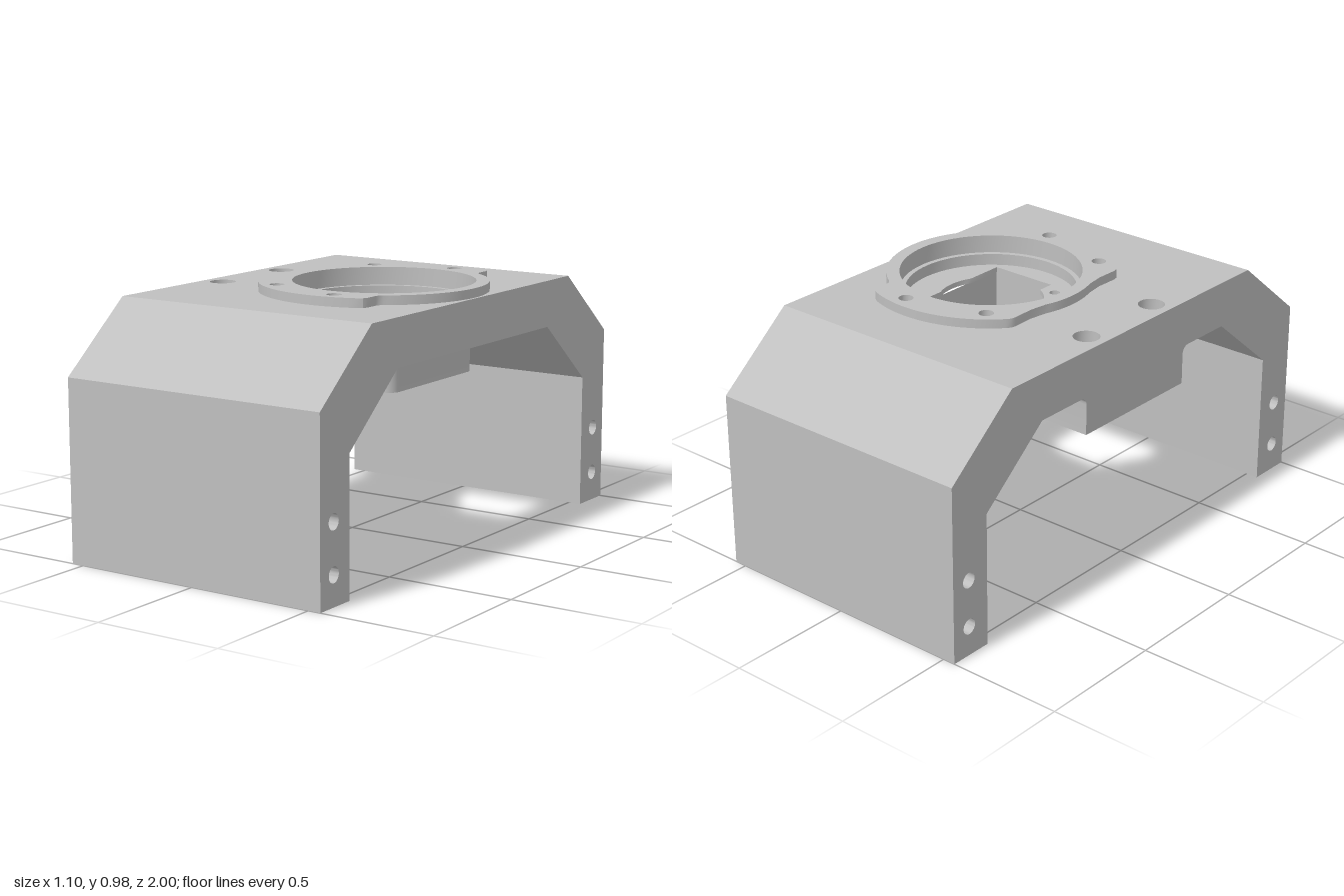
import * as THREE from 'three';
import { toCreasedNormals, mergeGeometries } from 'three/addons/utils/BufferGeometryUtils.js';

const V = (x, y) => new THREE.Vector2(x, y);
const P = (list) => list.map(([x, y]) => V(x, y));

// Points on an arc, angles in degrees, both ends included
function arc(cx, cy, r, a0, a1, n) {
  return Array.from({ length: n + 1 }, (_, i) => {
    const a = THREE.MathUtils.degToRad(a0 + ((a1 - a0) * i) / n);
    return V(cx + r * Math.cos(a), cy + r * Math.sin(a));
  });
}
const circle = (cx, cy, r, n = 32) => arc(cx, cy, r, 0, 360, n).slice(0, n);
const rect = (x0, x1, h) => P([[x0, -h], [x1, -h], [x1, h], [x0, h]]);

// Flat face at depth d; flip turns it to look the other way
function face(points, holes, d, flip = false) {
  const shape = new THREE.Shape(points);
  shape.holes = holes.map((h) => new THREE.Path(h));
  const g = new THREE.ShapeGeometry(shape);
  if (flip) {
    g.setIndex(Array.from(g.index.array).reverse());
    g.computeVertexNormals();
  }
  g.translate(0, 0, d);
  return g.toNonIndexed();
}

// Skin through outlines [points, depth]; faces outward for anticlockwise points
function loft(rings, closed = true) {
  const pos = [];
  for (let k = 0; k + 1 < rings.length; k++) {
    const [a, d0] = rings[k], [b, d1] = rings[k + 1], n = a.length;
    for (let i = 0; i < (closed ? n : n - 1); i++) {
      const j = (i + 1) % n;
      const A = [a[i].x, a[i].y, d0], B = [a[j].x, a[j].y, d0];
      const C = [b[j].x, b[j].y, d1], D = [b[i].x, b[i].y, d1];
      pos.push(...A, ...B, ...C, ...A, ...C, ...D);
    }
  }
  const g = new THREE.BufferGeometry();
  g.setAttribute('position', new THREE.Float32BufferAttribute(pos, 3));
  g.setAttribute('uv', new THREE.Float32BufferAttribute(new Array((pos.length / 3) * 2).fill(0), 2));
  g.computeVertexNormals();
  return toCreasedNormals(g, 0.55);
}
const wall = (pts, d0, d1, closed = true) => loft([[pts, d0], [pts, d1]], closed);
const bore = (pts, d0, d1) => wall([...pts].reverse(), d0, d1);

export function createModel() {
  const model = new THREE.Group();
  model.name = 'mountingBracket';
  const metal = new THREE.MeshStandardMaterial({ color: 0xbfbfbf });
  metal.name = 'grey metal';

  function add(name, parts, alongX = false) {
    const g = mergeGeometries(parts);
    if (alongX) g.rotateY(Math.PI / 2);
    else g.rotateX(-Math.PI / 2);
    const mesh = new THREE.Mesh(g, metal);
    mesh.name = name;
    model.add(mesh);
  }

  // Main dimensions
  const W = 0.55, TOP = 0.945, UNDER = 0.765, RIM = 0.98, BASE = 0.615;
  const FLOOR = 0.865, CEIL = 0.845, LEDGE = 0.91, BLIND = 0.88;
  const CX = 0.145;

  // Arch: side strips (one leg and its shoulder), mirrored
  const strip = P([[0.53, UNDER], [0.825, 0.52], [0.825, 0], [1, 0], [1, 0.69], [0.69, TOP]]);
  const mirrored = strip.map((p) => V(-p.x, p.y)).reverse();
  const legHoles = [];
  for (const s of [-1, 1]) for (const y of [0.115, 0.3]) legHoles.push(circle(s * 0.92, y, 0.03));
  add('legs', [
    wall(strip, -W, W, false), wall(mirrored, -W, W, false),
    ...legHoles.map((h) => bore(h, -W, W)),
  ], true);

  // Housing section: [outward offset, height], with a fillet under the deck
  const levels = [[0, BASE]];
  for (let i = 0; i <= 5; i++) {
    const a = (i / 5) * Math.PI / 2;
    levels.push([0.03 * (1 - Math.cos(a)), 0.735 + 0.03 * Math.sin(a)]);
  }
  const housingHalf = 0.285;
  const bump = [
    ...levels.map(([o, y]) => V(-housingHalf - o, y)).reverse(),
    ...levels.map(([o, y]) => V(housingHalf + o, y)),
  ];

  // End faces; the housing is flush with the -x end
  add('endFaces', [
    face([...strip, ...mirrored], legHoles, W),
    face([...strip, ...mirrored, ...bump], legHoles, -W, true),
  ], true);

  // Flange outline: two bolt lobes around a round collar
  const half = [
    ...arc(CX, 0, 0.395, 0, 57, 16),
    ...P([[0.348, 0.345], [0.345, 0.36], [0.345, 0.41], [0.338, 0.428]]),
    ...arc(CX, 0, 0.475, 68.4, 132, 20),
    ...P([[-0.203, 0.322], [-0.216, 0.305], [-0.22, 0.285], [-0.218, 0.2]]),
    ...arc(CX, 0, 0.395, 161, 180, 6),
  ];
  const flange = [...half, ...half.slice(1, -1).reverse().map((p) => V(p.x, -p.y))];

  const pair = (x, z, r) => [circle(x, z, r, 24), circle(x, -z, r, 24)];
  const boltHoles = [...pair(-0.115, 0.325, 0.028), ...pair(0.2, 0.41, 0.028)];
  const counterbores = pair(-0.47, 0.19, 0.05);
  const throughHoles = pair(-0.47, 0.19, 0.022);
  const pinHoles = pair(-0.01, 0.19, 0.02);
  const wide = circle(CX, 0, 0.345, 64), narrow = circle(CX, 0, 0.325, 64);

  // Deck top with counterbored screw holes
  add('deckTop', [face(rect(-W, W, 0.69), [flange, ...counterbores], TOP)]);
  add('screwHoles', counterbores.flatMap((c, i) => [
    bore(c, BLIND, TOP), face(c, [throughHoles[i]], BLIND), bore(throughHoles[i], CEIL, BLIND),
  ]));

  // Raised flange with blind bolt holes
  add('flange', [
    wall(flange, TOP, RIM), face(flange, [wide, ...boltHoles], RIM),
    ...boltHoles.flatMap((h) => [bore(h, BLIND, RIM), face(h, [], BLIND)]),
  ]);

  // Stepped socket, its floor, and the keyed opening in the floor
  const opening = [
    ...arc(CX, 0, 0.2, -25.8, 25.8, 8),
    ...P([[0.325, 0.24], [0.05, 0.24]]),
    ...arc(CX, 0, 0.2, 118.4, 241.6, 24),
    ...P([[0.05, -0.24], [0.325, -0.24]]),
  ];
  add('socket', [
    bore(wide, LEDGE, RIM), face(wide, [narrow], LEDGE), bore(narrow, FLOOR, LEDGE),
    face(narrow, [opening, ...pinHoles], FLOOR),
    ...[opening, ...pinHoles].map((h) => bore(h, CEIL, FLOOR)),
  ]);

  // Housing below the deck: open outline with two rounded corners
  const outline = (o) => {
    const h = housingHalf + o, r = 0.045 + o, x = 0.37 + o;
    return [V(-W, -h), ...arc(x - r, -h + r, r, -90, 0, 6), ...arc(x - r, h - r, r, 0, 90, 6), V(-W, h)];
  };
  const pocket = rect(-0.51, 0.333, 0.247);
  add('housing', [
    loft(levels.map(([o, y]) => [outline(o), y]), false),
    face(outline(0), [pocket], BASE, true),
    bore(pocket, BASE, CEIL),
    face(pocket, [opening, ...pinHoles, ...throughHoles], CEIL, true),
  ]);

  // Deck underside around the housing
  add('deckUnderside', [
    face([...rect(-W, W, 0.53), ...outline(0.03).reverse()], [], UNDER, true),
  ]);

  return model;
}
